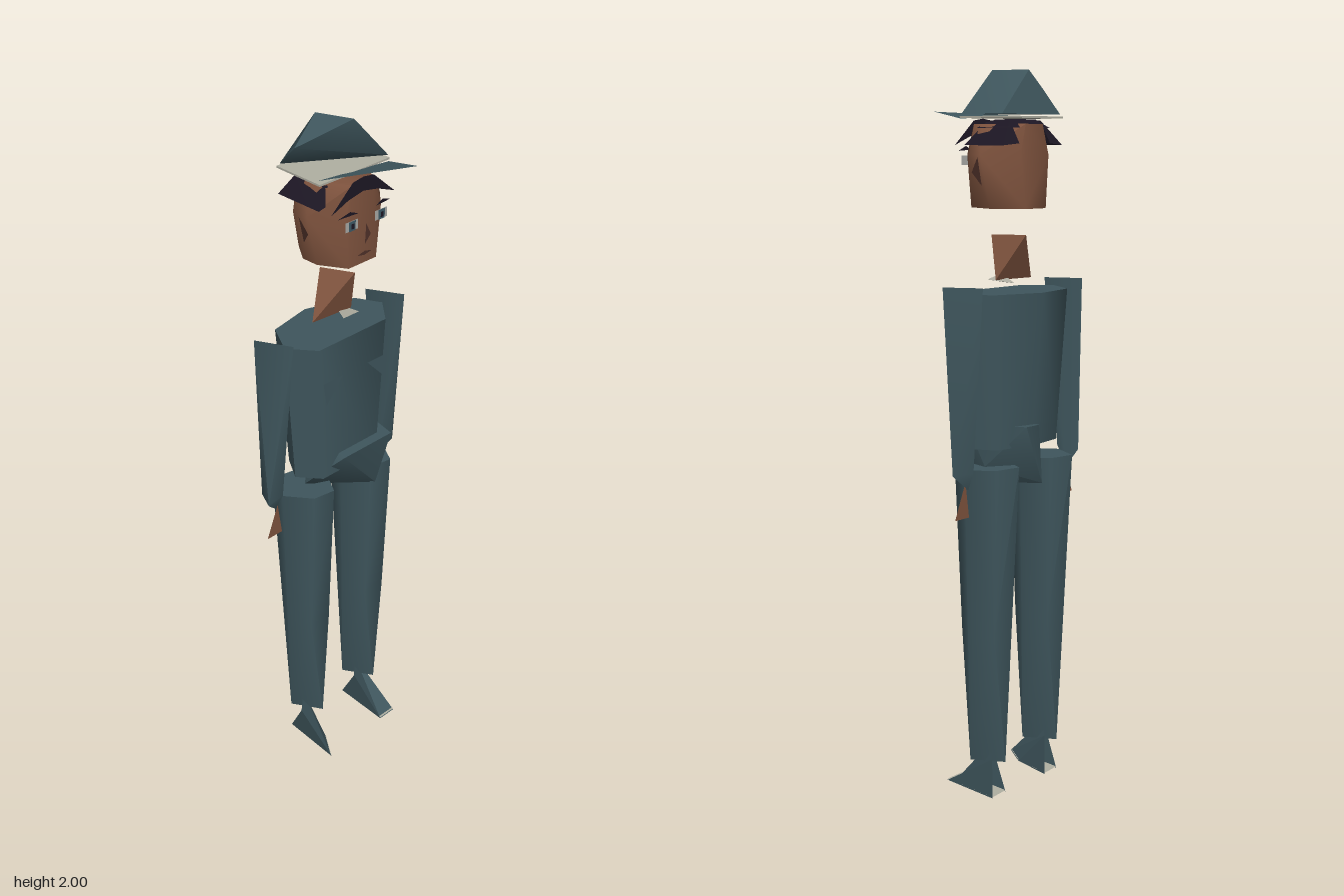
import * as THREE from 'three';
import { toCreasedNormals } from 'three/addons/utils/BufferGeometryUtils.js';
import { ConvexGeometry } from 'three/addons/geometries/ConvexGeometry.js';

const paint = (name, color, side = THREE.DoubleSide) => {
  const m = new THREE.MeshStandardMaterial({ color, side });
  m.name = name;
  return m;
};

export function createModel() {
  const model = new THREE.Group();
  const cloth = paint('uniformTeal', 0x3e555c);
  const skin = paint('skinBrown', 0x7d523d);
  const hairDark = paint('hairDark', 0x1d1724);
  const cream = paint('creamLining', 0xb0afa2, THREE.FrontSide);
  const white = paint('eyeWhite', 0xa9aaa6);
  const iris = paint('irisBlue', 0x3d5a66);
  const lip = paint('lipBrown', 0x4f3129);

  const add = (name, geometry, material) => {
    const mesh = new THREE.Mesh(geometry, material);
    mesh.name = name;
    model.add(mesh);
    return mesh;
  };
  // Solid stretched around a few corner points
  const solid = (name, points, material, crease = 0.8) =>
    add(name, toCreasedNormals(new ConvexGeometry(points.map((p) => new THREE.Vector3(...p))), crease), material);
  // Flat sheet, corners counter-clockwise from its front
  const sheet = (name, points, material) => {
    const fan = [];
    for (let i = 1; i < points.length - 1; i++) fan.push(...points[0], ...points[i], ...points[i + 1]);
    const g = new THREE.BufferGeometry();
    g.setAttribute('position', new THREE.Float32BufferAttribute(fan, 3));
    g.computeVertexNormals();
    return add(name, g, material);
  };
  // Outline of x, z pairs lifted to a height, and of x, y pairs moved forward
  const ring = (y, pairs) => pairs.map(([x, z]) => [x, y, z]);
  const front = (z, pairs) => pairs.map(([x, y]) => [x, y, z]);

  // Torso
  solid('torso', [
    ...ring(1.42, [[-0.177, -0.03], [-0.13, -0.12], [0, -0.147], [0.14, -0.1], [0.177, -0.03], [0.12, 0.04], [-0.12, 0.04]]),
    ...ring(1.0, [[-0.15, -0.03], [-0.11, -0.1], [0, -0.115], [0.12, -0.09], [0.15, -0.03], [0.1, 0.03], [-0.1, 0.03]]),
  ], cloth, 1.0);
  // Hips, closing below in a slanting edge
  solid('hips', [
    ...ring(1.06, [[-0.05, 0.06], [0.13, 0.06], [0.14, 0], [0.05, -0.135], [0, -0.135]]),
    [-0.115, 0.96, -0.03], [0.125, 0.95, -0.05],
    ...ring(0.89, [[-0.03, -0.12], [0.1, 0.03]]),
  ], cloth, 1.0);
  // Chest pocket flaps
  sheet('pocketRight', front(0.05, [[-0.115, 1.32], [-0.105, 1.25], [-0.045, 1.32]]), cloth);
  sheet('pocketLeft', front(0.05, [[0.045, 1.32], [0.11, 1.25], [0.11, 1.32]]), cloth);
  // Neck and collar
  solid('neck', [[0, 1.57, -0.085], [0.045, 1.57, 0], [-0.07, 1.45, -0.04], [0.06, 1.45, -0.03]], skin, 0.5);
  solid('collar', [[-0.01, 1.462, 0.015], [0.06, 1.45, 0], [0.05, 1.445, -0.09], [0.03, 1.443, -0.03]], cream, 0.1);

  // Legs: each ends below in a slanting edge
  for (const [name, cx] of [['legRight', -0.11], ['legLeft', 0.11]]) {
    const at = (pairs) => pairs.map(([x, z]) => [cx + x, z]);
    solid(name, [
      ...ring(0.95, at([[-0.08, -0.04], [-0.045, -0.122], [0.03, -0.108], [0.083, -0.04], [0.04, 0.04], [-0.025, 0.03]])),
      ...ring(0.48, at([[-0.055, -0.045], [-0.035, -0.1], [0.03, -0.1], [0.055, -0.04], [0.035, 0.02], [-0.03, 0.015]])),
      ...ring(0.09, at([[-0.03, -0.085], [0.025, 0]])),
    ], cloth, 1.3);
  }

  // Shoes: open wedges over cream soles
  const shoe = (name, toe, toeInner, heelA, heelB, topA, topB) => {
    sheet(name + 'Upper', [toe, toeInner, topB, topA], cloth);
    sheet(name + 'OuterSide', [heelA, toe, topA], cloth);
    sheet(name + 'InnerSide', [toeInner, heelB, topB], cloth);
    const lift = ([x, y, z]) => [x, y + 0.004, z];
    sheet(name + 'Sole', [toe, toeInner, heelB, heelA].map(lift), cream);
  };
  shoe('shoeRight', [-0.143, 0, 0.1], [-0.1, 0, 0.03], [-0.14, 0, -0.085], [-0.083, 0, -0.09], [-0.16, 0.125, -0.015], [-0.092, 0.115, -0.08]);
  shoe('shoeLeft', [0.08, 0, 0.09], [0.138, 0, 0.09], [0.08, 0, -0.085], [0.138, 0, -0.09], [0.065, 0.125, -0.015], [0.135, 0.115, -0.085]);

  // Arms: blade edge at the shoulder, thicker at the wrist
  solid('armRight', [
    [-0.228, 1.44, -0.09], [-0.177, 1.44, 0.005], [-0.24, 0.94, -0.04],
    [-0.225, 0.95, -0.085], [-0.197, 0.96, -0.03], [-0.2, 0.9, -0.06],
  ], cloth, 1.0);
  solid('armLeft', [
    [0.172, 1.44, -0.09], [0.226, 1.44, 0.005], [0.238, 0.94, -0.04],
    [0.205, 0.95, -0.085], [0.225, 0.96, -0.03], [0.2, 0.9, -0.06],
  ], cloth, 1.0);

  // Head
  const skull = [[-0.12, -0.05], [-0.06, -0.11], [0.05, -0.11], [0.12, -0.03], [0.12, 0.01], [0.065, 0.07], [-0.055, 0.07], [-0.12, 0]];
  solid('head', [
    ...ring(1.78, skull),
    ...ring(1.86, skull.map(([x, z]) => [x * 0.6, z])),
    ...ring(1.64, [[-0.09, -0.05], [-0.05, -0.11], [0.03, -0.11], [0.082, -0.03], [0.05, 0.07], [-0.045, 0.07], [-0.088, 0]]),
  ], skin, 1.1);

  // Hair: fringe over the forehead, crown cap and side locks
  sheet('hairFringe', front(0.074, [
    [0, 1.875], [-0.035, 1.87], [-0.108, 1.805], [-0.05, 1.828], [0, 1.838], [0.05, 1.828], [0.108, 1.805], [0.035, 1.87],
  ]), hairDark);
  solid('hairTop', [
    ...ring(1.872, [[-0.03, 0], [0.03, 0], [0.04, -0.08], [-0.04, -0.08]]),
    ...ring(1.85, [[-0.075, 0.02], [0.08, 0.02], [0.08, -0.1], [-0.075, -0.1]]),
  ], hairDark, 0.5);

  // Paired parts
  for (const s of [-1, 1]) {
    const tag = s < 0 ? 'Right' : 'Left';
    solid('hair' + tag, [
      [s * 0.112, 1.805, 0.035], [s * 0.06, 1.865, 0.005], [s * 0.09, 1.81, 0.035],
      [s * 0.06, 1.87, -0.08], [s * 0.115, 1.805, -0.11], [s * 0.06, 1.81, -0.115],
    ], hairDark, 0.5);
    sheet('hand' + tag, front(-0.05, [[s * 0.2, 0.92], [s * 0.24, 0.82], [s * 0.187, 0.82]]), skin);
    sheet('ear' + tag, [[s * 0.124, 1.775, -0.025], [s * 0.118, 1.735, 0.002], [s * 0.108, 1.7, -0.025]], lip);
    // Eyes and brows
    const patch = (name, z, w, h, m) =>
      sheet(name + tag, front(z, [[-w, -h], [w, -h], [w, h], [-w, h]].map(([x, y]) => [s * 0.05 + x, 1.765 + y])), m);
    patch('eyeWhite', 0.086, 0.021, 0.013, white);
    patch('iris', 0.088, 0.011, 0.013, iris);
    patch('pupil', 0.09, 0.005, 0.007, hairDark);
    sheet('brow' + tag, [[s * 0.09, 1.79, 0.078], [s * 0.03, 1.793, 0.088], [s * 0.055, 1.803, 0.085]], hairDark);
  }
  // Nose and mouth
  sheet('nose', front(0.085, [[0, 1.755], [-0.004, 1.7], [0.016, 1.722]]), lip);
  sheet('mouth', front(0.08, [[0, 1.678], [-0.025, 1.672], [0, 1.667], [0.025, 1.672]]), lip);

  // Cap: crown, cream lining and slanted peak
  solid('capCrown', [
    [-0.125, 1.95, -0.035], [-0.02, 2.0, -0.075], [0.02, 2.0, 0.02],
    [0.118, 1.885, 0.04], [0.115, 1.885, -0.105], [-0.112, 1.885, -0.105],
  ], cloth, 0.8);
  const band = [[-0.118, -0.11], [0.118, -0.11], [0.118, 0.045], [-0.118, 0.045]];
  solid('capLining', [...ring(1.88, band), ...ring(1.875, band)], cream, 0.3);
  sheet('capPeak', [[-0.11, 1.883, 0.03], [0.11, 1.893, 0.15], [0.11, 1.874, 0.05]], cloth);

  return model;
}
